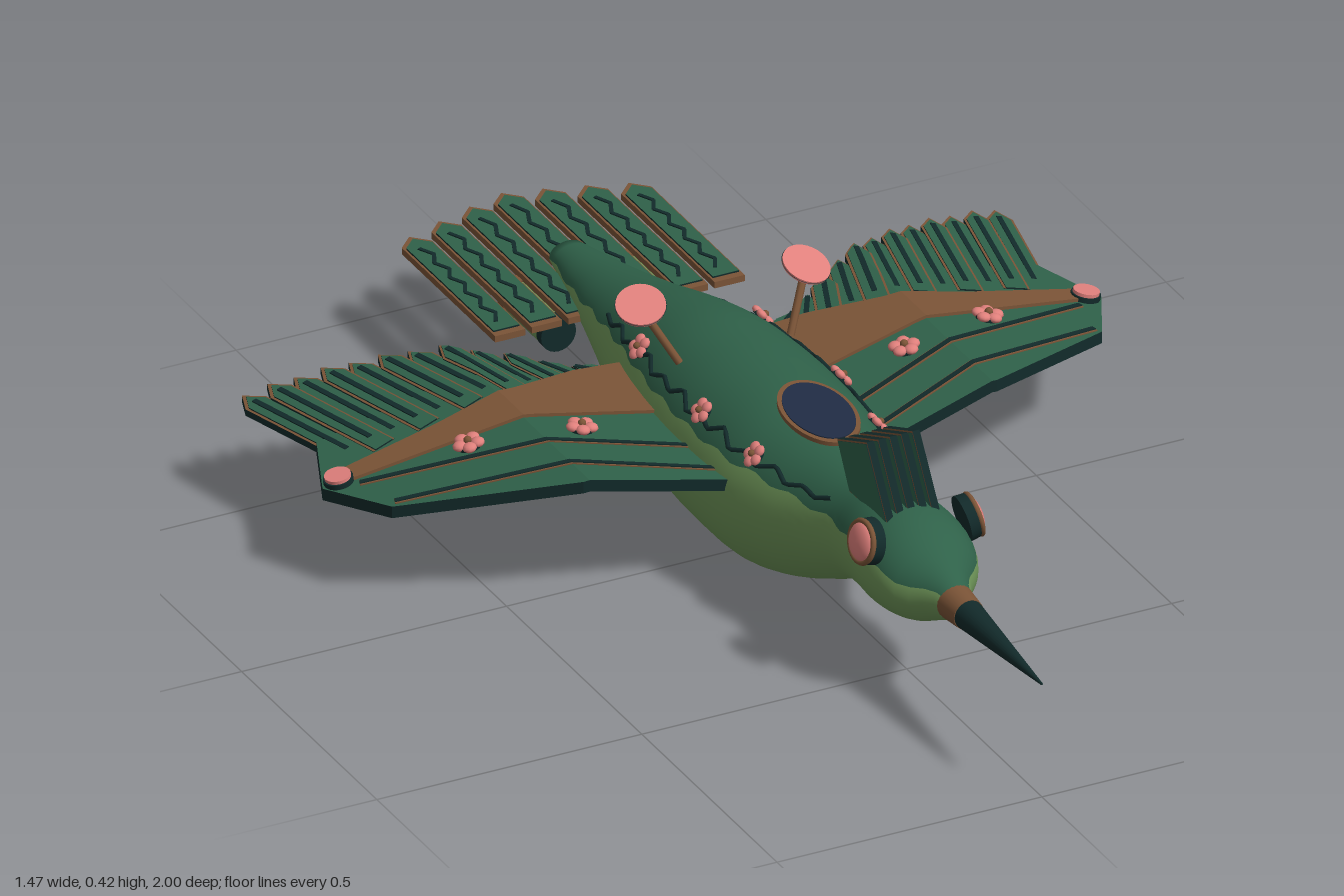
import * as THREE from 'three';

const mat = (name, color) => {
  const m = new THREE.MeshStandardMaterial({ color });
  m.name = name;
  return m;
};
const UP = new THREE.Vector3(0, 1, 0);
const V = (x, y, z) => new THREE.Vector3(x, y, z);

export function createModel() {
  const green = mat('deepGreen', 0x2f6149), moss = mat('mossGreen', 0x6f9659),
    brown = mat('copperBrown', 0x7b5437), dark = mat('darkTeal', 0x122a2a),
    pink = mat('coralPink', 0xe0807c), navy = mat('navyGlass', 0x202c44);
  const model = new THREE.Group();
  const add = (parent, name, geo, m, pos) => {
    const mesh = new THREE.Mesh(geo, m);
    mesh.name = name;
    if (pos) mesh.position.copy(pos);
    parent.add(mesh);
    return mesh;
  };
  const group = (parent, name, pos, normal) => {
    const g = new THREE.Group();
    g.name = name;
    if (pos) g.position.copy(pos);
    if (normal) g.quaternion.setFromUnitVectors(UP, normal.clone().normalize());
    parent.add(g);
    return g;
  };

  // Body sections: z, top, bottom, half width, colour boundary height
  const sections = [
    [0.69, 0.248, 0.190, 0.028, 0.235], [0.65, 0.268, 0.172, 0.046, 0.238], [0.60, 0.298, 0.147, 0.085, 0.245],
    [0.54, 0.318, 0.136, 0.100, 0.255], [0.46, 0.322, 0.133, 0.096, 0.258], [0.38, 0.312, 0.117, 0.090, 0.252],
    [0.30, 0.314, 0.080, 0.106, 0.248], [0.20, 0.324, 0.035, 0.137, 0.250], [0.10, 0.338, 0.006, 0.160, 0.250],
    [0.00, 0.341, 0.003, 0.166, 0.250], [-0.10, 0.340, 0.006, 0.164, 0.250], [-0.22, 0.332, 0.018, 0.152, 0.248],
    [-0.34, 0.306, 0.050, 0.130, 0.240], [-0.48, 0.265, 0.096, 0.095, 0.218], [-0.62, 0.232, 0.132, 0.062, 0.195],
    [-0.755, 0.208, 0.160, 0.034, 0.185]];
  const section = z => {
    let i = 1;
    while (i < sections.length - 1 && sections[i][0] > z) i++;
    const a = sections[i - 1], b = sections[i], p = sections[Math.max(0, i - 2)], q = sections[Math.min(sections.length - 1, i + 1)];
    const h = b[0] - a[0], t = (z - a[0]) / h;
    return a.map((v, k) => {
      const m0 = (b[k] - p[k]) / (b[0] - p[0]) * h, m1 = (q[k] - v) / (q[0] - a[0]) * h;
      return (2 * t ** 3 - 3 * t * t + 1) * v + (t ** 3 - 2 * t * t + t) * m0 + (3 * t * t - 2 * t ** 3) * b[k] + (t ** 3 - t * t) * m1;
    });
  };
  const surface = (z, angle, lift = 0) => {
    const [, top, bottom, w] = section(z);
    return V((w + lift) * Math.cos(angle), (top + bottom) / 2 + ((top - bottom) / 2 + lift) * Math.sin(angle), z);
  };
  const surfaceNormal = (z, angle) => {
    const [, top, bottom, w] = section(z);
    return V(Math.cos(angle) / w, Math.sin(angle) * 2 / (top - bottom), 0).normalize();
  };

  // Body loft: dark back and pale belly share one smooth skin
  const rings = 72, cols = 48, split = 18, verts = [], back = [], belly = [];
  for (let i = 0; i <= rings; i++) {
    const z = 0.69 - 1.445 * Math.min(i, rings - 1) / (rings - 1);
    const [, top, bottom, , edge] = section(z);
    const jag = 0.004 * Math.sin(i * 1.3);
    const a = Math.asin(THREE.MathUtils.clamp((edge + jag - (top + bottom) / 2) * 2 / (top - bottom), -0.95, 0.95));
    for (let j = 0; j < cols; j++) {
      const t = j < split ? a + (Math.PI - 2 * a) * j / split
        : Math.PI - a + (Math.PI + 2 * a) * (j - split) / (cols - split);
      const p = surface(z, t);
      if (i === rings) p.set(0, (top + bottom) / 2, z);
      verts.push(p.x, p.y, p.z);
      if (i < rings) {
        const n = (j + 1) % cols, A = i * cols + j, B = A + cols, C = i * cols + n, D = C + cols;
        (j < split ? back : belly).push(A, B, C, C, B, D);
      }
    }
  }
  const skin = new THREE.BufferGeometry();
  skin.setAttribute('position', new THREE.Float32BufferAttribute(verts, 3));
  skin.setIndex([...back, ...belly]);
  skin.addGroup(0, back.length, 0);
  skin.addGroup(back.length, belly.length, 1);
  skin.computeVertexNormals();
  add(model, 'body', skin, [green, moss]);

  // Beak
  const beak = group(model, 'beak', V(0, 0.219, 0.67));
  beak.rotation.x = Math.PI / 2;
  add(beak, 'beakCollar', new THREE.CylinderGeometry(0.028, 0.034, 0.06, 24), brown, V(0, 0.03, 0));
  add(beak, 'beakSpike', new THREE.CylinderGeometry(0.002, 0.027, 0.27, 24), dark, V(0, 0.195, 0));

  // Flat plate from [x, z] corners, optionally draped by a height rule
  const plate = (pts, y, thick, rule) => {
    const s = new THREE.Shape(pts.map(([x, z]) => new THREE.Vector2(x, -z)));
    const g = new THREE.ExtrudeGeometry(s, { depth: thick, bevelEnabled: false });
    g.rotateX(-Math.PI / 2).translate(0, y, 0);
    if (rule) {
      const p = g.attributes.position;
      for (let i = 0; i < p.count; i++) p.setY(i, p.getY(i) + rule(p.getX(i)));
      g.computeVertexNormals();
    }
    return g;
  };

  // Crest of upright fins: green faces, dark rims and a copper outline
  const fin = [[0.53, 0.30], [0.45, 0.425], [0.34, 0.378], [0.385, 0.30]];
  const finGeo = (k, thick) => {
    const s = new THREE.Shape(fin.map(([z, y]) => new THREE.Vector2(-(0.43 + (z - 0.43) * k), 0.35 + (y - 0.35) * k)));
    return new THREE.ExtrudeGeometry(s, { depth: thick, bevelEnabled: false }).translate(0, 0, -thick / 2).rotateY(Math.PI / 2);
  };
  for (let i = -2; i <= 2; i++) {
    add(model, 'crestFin', finGeo(1, 0.013), [brown, dark], V(i * 0.0215, 0, 0));
    add(model, 'crestFace', finGeo(0.95, 0.016), [green, dark], V(i * 0.0215, 0, 0));
  }

  // Back window
  const hatch = group(model, 'backWindow', V(0, 0.334, 0.175));
  hatch.rotation.x = 0.11;
  const oval = (name, r, h, m, y) => add(hatch, name, new THREE.CylinderGeometry(r, r, h, 40), m, V(0, y, 0)).scale.set(0.64, 1, 1);
  oval('windowFrame', 0.097, 0.008, brown, 0);
  oval('windowGlass', 0.086, 0.006, navy, 0.003);

  const flower = (parent, pos, normal, r = 0.023) => {
    const g = group(parent, 'flower', pos, normal);
    add(g, 'flowerBack', new THREE.CylinderGeometry(r * 0.8, r * 0.8, 0.006, 12), dark);
    for (let i = 0; i < 5; i++) {
      const a = i * Math.PI * 0.4;
      add(g, 'petal', new THREE.SphereGeometry(r * 0.46, 10, 8), pink, V(Math.cos(a) * r * 0.6, 0.004, Math.sin(a) * r * 0.6)).scale.y = 0.65;
    }
    add(g, 'flowerHeart', new THREE.SphereGeometry(r * 0.28, 8, 6), brown, V(0, 0.009, 0));
  };

  // Wing outline helpers: height rule folds at x = FOLD
  const FOLD = 0.38;
  const wingY = x => x < FOLD ? 0.208 + (x - 0.13) * 0.128 : 0.24 - (x - FOLD) * 0.2;
  const clip = (pts, side) => pts.flatMap((p, i) => {
    const q = pts[(i + 1) % pts.length], inP = (p[0] - FOLD) * side >= 0, inQ = (q[0] - FOLD) * side >= 0;
    const out = inP ? [p] : [];
    if (inP !== inQ) out.push([FOLD, p[1] + (q[1] - p[1]) * (FOLD - p[0]) / (q[0] - p[0])]);
    return out;
  });
  const drape = (parent, name, pts, y, thick, m) => [-1, 1].forEach(side => {
    const part = clip(pts, side);
    if (part.length > 2) add(parent, name, plate(part, y, thick, wingY), m);
  });
  const strip = (a, b, w) => {
    const d = new THREE.Vector2(b[0] - a[0], b[1] - a[1]).normalize().multiplyScalar(w / 2);
    return [[a[0] - d.y, a[1] + d.x], [b[0] - d.y, b[1] + d.x], [b[0] + d.y, b[1] - d.x], [a[0] + d.y, a[1] - d.x]];
  };
  const feather = (a, b, w, point = 0.5) => {
    const d = new THREE.Vector2(b[0] - a[0], b[1] - a[1]).normalize().multiplyScalar(w * point);
    const s = strip(a, [b[0] - d.x, b[1] - d.y], w);
    return [s[0], s[1], b, s[2], s[3]];
  };

  // One side holds wing, eye, dish, vine and thruster; the other mirrors it
  [1, -1].forEach(sign => {
    const half = group(model, sign > 0 ? 'leftSide' : 'rightSide');
    half.scale.x = sign;

    // Wing panel, copper band and seams
    const wing = group(half, 'wing');
    drape(wing, 'wingPanel', [[0.10, 0.14], [0.16, 0.125], [0.39, 0.07], [0.67, -0.09], [0.735, -0.22], [0.68, -0.35],
      [0.45, -0.36], [0.24, -0.30], [0.10, -0.27]], -0.012, 0.022, [green, dark]);
    drape(wing, 'wingBand', [[0.11, -0.125], [0.36, -0.170], [0.70, -0.207], [0.70, -0.243], [0.50, -0.252], [0.35, -0.270],
      [0.22, -0.305], [0.11, -0.315]], -0.014, 0.030, brown);
    [[[0.14, 0.00], [0.68, -0.19]], [[0.15, 0.085], [0.66, -0.10]]].forEach(([a, b]) => {
      drape(wing, 'seamTrim', strip(a, b, 0.015), 0.009, 0.003, brown);
      drape(wing, 'wingSeam', strip(a, b, 0.009), 0.009, 0.005, dark);
    });
    // Wing feathers lie over the panel, with dark sides and copper edges
    for (let i = 0; i < 12; i++) {
      const u = i / 11, tip = [0.71 - 0.50 * u, -0.567 + 0.03 * u + 0.21 * u * u], root = [0.64 - 0.47 * u, -0.262 - 0.035 * u * u];
      const y = 0.003 + (i % 2) * 0.004, f = k => [root[0] + (tip[0] - root[0]) * k, root[1] + (tip[1] - root[1]) * k];
      drape(wing, 'featherEdge', feather(root, tip, 0.046, 0.8), y - 0.008, 0.012, [brown, dark]);
      drape(wing, 'feather', feather(root, f(0.965), 0.037, 0.8), y - 0.010, 0.016, [green, dark]);
      drape(wing, 'featherQuill', strip(f(0.12), f(0.9), 0.009), y + 0.004, 0.004, dark);
    }
    // Wing ornaments
    flower(wing, V(0.305, wingY(0.305) + 0.014, -0.105), V(-0.12, 1, 0), 0.027);
    flower(wing, V(0.49, wingY(0.49) + 0.014, -0.16), V(0.2, 1, 0), 0.027);
    const tipLamp = group(wing, 'wingTipLamp', V(0.705, wingY(0.705) + 0.014, -0.22), V(0.2, 1, 0));
    add(tipLamp, 'lampRim', new THREE.CylinderGeometry(0.026, 0.026, 0.010, 20), dark);
    add(tipLamp, 'lamp', new THREE.CylinderGeometry(0.023, 0.023, 0.014, 20), pink, V(0, 0.004, 0));

    // Eye
    const eye = group(half, 'eye', V(0.095, 0.291, 0.54), V(1, 0.22, 0.08));
    add(eye, 'eyeSocket', new THREE.CylinderGeometry(0.039, 0.041, 0.022, 28), dark);
    add(eye, 'eyeRing', new THREE.TorusGeometry(0.036, 0.005, 8, 28).rotateX(Math.PI / 2), brown, V(0, 0.011, 0));
    add(eye, 'eyeLens', new THREE.SphereGeometry(0.034, 24, 12), pink, V(0, 0.011, 0)).scale.y = 0.4;

    // Dish on a stem
    const from = V(0.105, 0.305, -0.135), to = V(0.152, 0.394, -0.176);
    add(half, 'dishStem', new THREE.TubeGeometry(new THREE.LineCurve3(from, to), 1, 0.007, 8), brown);
    const dish = group(half, 'dish', V(0.155, 0.401, -0.18), V(0.2, 1, 0.42));
    add(dish, 'dishBack', new THREE.CylinderGeometry(0.044, 0.032, 0.012, 28), dark);
    add(dish, 'dishFace', new THREE.CylinderGeometry(0.043, 0.043, 0.006, 28), pink, V(0, 0.006, 0));

    // Vine zigzagging along the back, with flowers
    const vine = new THREE.CurvePath();
    const knot = i => surface(0.36 - 0.8 * i / 22, 0.66 + [0.07, -0.06, 0.02, -0.08][i % 4], 0.002);
    for (let i = 0; i < 22; i++) vine.add(new THREE.LineCurve3(knot(i), knot(i + 1)));
    add(half, 'vine', new THREE.TubeGeometry(vine, 88, 0.0042, 6), dark);
    [0.165, 0, -0.26].forEach(z => flower(half, surface(z, 0.7, 0.004), surfaceNormal(z, 0.7)));

    // Thruster under the tail
    const thruster = group(half, 'thruster', V(0.10, 0.134, -0.67));
    thruster.rotation.x = -Math.PI / 2;
    add(thruster, 'thrusterBody', new THREE.CylinderGeometry(0.032, 0.032, 0.14, 24), moss);
    add(thruster, 'thrusterCap', new THREE.CylinderGeometry(0.033, 0.033, 0.018, 24), dark, V(0, -0.07, 0));
    add(thruster, 'thrusterRing', new THREE.CylinderGeometry(0.035, 0.035, 0.022, 24), brown, V(0, 0.07, 0));
    add(thruster, 'thrusterGlow', new THREE.CylinderGeometry(0.027, 0.027, 0.006, 24), pink, V(0, 0.081, 0));
  });

  // Tail fan with zigzag quills
  for (let i = -3; i <= 3; i++) {
    const x = i * 0.069, tip = -1 + [0, 0.018, 0.04, 0.066][Math.abs(i)];
    add(model, 'tailFeatherEdge', plate(feather([x, -0.56], [x, tip], 0.057), 0.167, 0.012), brown);
    add(model, 'tailFeather', plate(feather([x, -0.574], [x, tip + 0.013], 0.049), 0.164, 0.018), [green, dark]);
    const knot = k => [x + (k % 2 ? 0.007 : -0.007), -0.60 + (tip + 0.65) * k / 10];
    for (let k = 0; k < 10; k++) add(model, 'tailQuill', plate(strip(knot(k), knot(k + 1), 0.007), 0.181, 0.003), dark);
  }
  return model;
}
